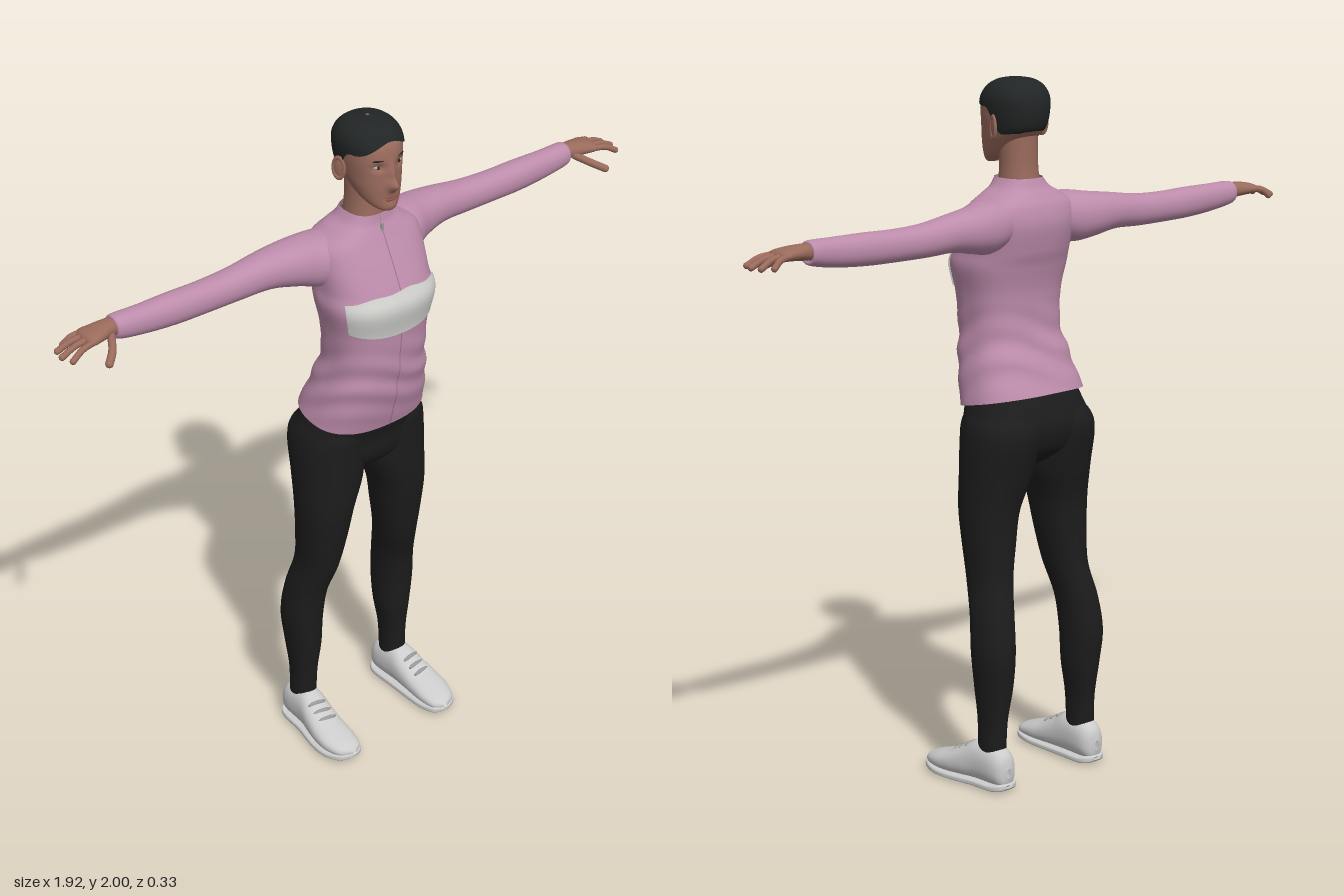
import * as THREE from 'three';
import { ParametricGeometry } from 'three/addons/geometries/ParametricGeometry.js';

const mat = (name, color) => {
  const m = new THREE.MeshStandardMaterial({ color, side: THREE.DoubleSide });
  m.name = name;
  return m;
};

// Catmull-Rom blend of the cross-section rows at t (in rows)
function rowAt(rows, t) {
  const last = rows.length - 1;
  const i = Math.min(Math.max(Math.floor(t), 0), last - 1), u = t - i;
  const r = k => rows[Math.min(Math.max(k, 0), last)];
  return [0, 1, 2, 3, 4, 5].map(c => {
    const [a, b, d, e] = [r(i - 1), r(i), r(i + 1), r(i + 2)].map(q => q[c] ?? 0);
    return 0.5 * (2 * b + (d - a) * u + (2 * a - 5 * b + 4 * d - e) * u * u + (3 * b - a - 3 * d + e) * u ** 3);
  });
}

// Surface through rows [height, side centre, half width, front, back, tilt]
const surface = (rows, n = 2.2, warp = null) => {
  const f = (t, a, off, p) => {
    const [h, c, w, front, back, tilt] = rowAt(rows, t);
    const s = Math.sin(a), k = Math.cos(a);
    const r = (Math.abs(s) ** n + Math.abs(k) ** n) ** (-1 / n);
    const z = (front + back) / 2 + ((front - back) / 2 + off) * r * k;
    p.set(c + (w + off) * r * s, h + tilt * z, z);
    if (warp) warp(p, a);
    return p;
  };
  f.max = rows.length - 1;
  return f;
};

// Patch of a surface between two edges and two angles
function patch(f, { lo = () => 0, hi = () => f.max, a0 = -Math.PI, a1 = Math.PI, nu = 40, nv = 40, off = 0 } = {}) {
  return new ParametricGeometry((u, v, p) => {
    const a = a0 + (a1 - a0) * u;
    f(lo(a) + (hi(a) - lo(a)) * v, a, off, p);
  }, nu, nv);
}

function mirrored(geo) {
  const g = geo.clone().scale(-1, 1, 1), ix = g.index.array;
  for (let i = 0; i < ix.length; i += 3) [ix[i], ix[i + 1]] = [ix[i + 1], ix[i]];
  return g;
}

const ball = (x, y, z, rx, ry, rz, turn = 0) =>
  new THREE.SphereGeometry(1, 20, 14).scale(rx, ry, rz).rotateY(turn).translate(x, y, z);

export function createModel() {
  const model = new THREE.Group();
  const pink = mat('pink fabric', 0xbd8cab), white = mat('white fabric', 0xcfcfcc);
  const black = mat('black leggings', 0x1c1c1c), hairMat = mat('dark hair', 0x222525);
  const skin = mat('skin', 0x9a6b5c), lip = mat('lips', 0x85504a), eyeWhite = mat('eye white', 0xb5a8a0);
  const shoeMat = mat('shoe', 0xcccccc), grey = mat('grey trim', 0x9a9a9a), seam = mat('pink seam', 0xa07491);

  const add = (name, geo, m) => {
    const mesh = new THREE.Mesh(geo, m);
    mesh.name = name;
    model.add(mesh);
  };
  const pair = (name, geo, m) => {
    add('left' + name, geo, m);
    add('right' + name, mirrored(geo), m);
  };

  // Shirt body with soft folds at the waist
  const shirt = surface([
    [1.10, 0, 0.187, 0.102, -0.152, -0.2], [1.20, 0, 0.168, 0.13, -0.117, -0.1],
    [1.30, 0, 0.148, 0.145, -0.087], [1.40, 0, 0.153, 0.152, -0.085],
    [1.48, 0, 0.168, 0.165, -0.10], [1.53, 0, 0.164, 0.146, -0.115],
    [1.60, 0, 0.168, 0.112, -0.127], [1.65, 0, 0.16, 0.085, -0.118],
    [1.68, 0, 0.115, 0.07, -0.10], [1.70, 0, 0.08, 0.061, -0.085], [1.725, 0, 0.06, 0.056, -0.074],
  ], 2.5, (p, a) => {
    const k = Math.max(0, 1 - Math.abs(p.y - 1.24) / 0.15);
    const d = 0.004 * k * Math.sin(p.y * 70 + 3 * Math.sin(2 * a));
    p.x += d * Math.sin(a);
    p.z += d * Math.cos(a);
  });
  add('shirtBody', patch(shirt, { nu: 72, nv: 90 }), pink);
  add('chestBand', patch(shirt, {
    lo: a => 3 + 0.25 * a * a, hi: a => 5 - 0.3 * a * a + 0.04 * Math.sin(a * 9), a0: -1.02, a1: 1.02, off: 0.004,
  }), white);
  add('frontZip', patch(shirt, { a0: -0.012, a1: 0.012, nu: 2, nv: 90, off: 0.0015 }), seam);
  add('zipPull', new THREE.BoxGeometry(0.008, 0.022, 0.006).translate(0, 1.69, 0.068), grey);

  // Sleeves run out along x
  const sleeve = surface([
    [0.07, -1.615, 0.055, 0.03, -0.10], [0.15, -1.602, 0.073, 0.045, -0.118],
    [0.22, -1.602, 0.064, 0.012, -0.125], [0.30, -1.604, 0.052, -0.01, -0.121],
    [0.40, -1.596, 0.046, -0.022, -0.115], [0.50, -1.594, 0.044, -0.025, -0.11],
    [0.60, -1.596, 0.044, -0.025, -0.108], [0.70, -1.60, 0.04, -0.03, -0.102],
    [0.78, -1.607, 0.033, -0.034, -0.101], [0.785, -1.608, 0.02, -0.05, -0.09],
  ]);
  pair('Sleeve', patch(sleeve, { nu: 32, nv: 60 }).rotateZ(-Math.PI / 2), pink);

  // Hands: palm, four fingers and a thumb
  const palm = surface([
    [0.75, -1.608, 0.024, -0.045, -0.092], [0.80, -1.612, 0.022, -0.038, -0.095],
    [0.84, -1.612, 0.019, -0.025, -0.10], [0.875, -1.61, 0.014, -0.02, -0.102],
    [0.887, -1.608, 0.003, -0.05, -0.07],
  ]);
  pair('Palm', patch(palm, { nu: 24, nv: 20 }).rotateZ(-Math.PI / 2), skin);
  const digit = (name, pts, r) => {
    const path = new THREE.CatmullRomCurve3(pts.map(p => new THREE.Vector3(...p)));
    pair(name, new THREE.TubeGeometry(path, 12, r, 10), skin);
    pair(name + 'Tip', ball(...pts[2], r, r, r), skin);
  };
  [[-0.091, 0.918, -0.102], [-0.072, 0.946, -0.083], [-0.051, 0.953, -0.05], [-0.031, 0.942, -0.016]]
    .forEach(([z, x, tz], i) => digit('Finger' + (i + 1),
      [[0.86, 1.61, z], [(0.87 + x) / 2, 1.605, (z + tz) / 2], [x, 1.587, tz]], 0.0088));
  digit('Thumb', [[0.805, 1.602, -0.045], [0.835, 1.585, 0.003], [0.862, 1.57, 0.028]], 0.011);

  // Leggings
  add('pelvis', patch(surface([
    [0.905, 0, 0.05, 0.0, -0.05], [0.93, 0, 0.12, 0.045, -0.10], [0.97, 0, 0.18, 0.066, -0.145],
    [1.03, 0, 0.203, 0.072, -0.163], [1.08, 0, 0.186, 0.085, -0.152], [1.14, 0, 0.165, 0.09, -0.125],
  ], 2.5), { nu: 56, nv: 30 }), black);
  pair('Leg', patch(surface([
    [0.10, 0.172, 0.036, -0.045, -0.13], [0.20, 0.17, 0.036, -0.04, -0.136],
    [0.30, 0.168, 0.049, -0.03, -0.15], [0.40, 0.17, 0.055, -0.022, -0.16],
    [0.50, 0.162, 0.054, -0.008, -0.147], [0.60, 0.145, 0.056, 0.025, -0.122],
    [0.70, 0.137, 0.068, 0.045, -0.117], [0.80, 0.13, 0.08, 0.06, -0.12],
    [0.90, 0.112, 0.098, 0.066, -0.142], [1.0, 0.106, 0.102, 0.069, -0.164],
    [1.05, 0.1, 0.097, 0.07, -0.158], [1.10, 0.09, 0.07, 0.06, -0.12],
  ]), { nu: 36, nv: 66 }), black);

  // Shoes: sections run from heel to toe
  const shoe = [
    [-0.16, 0.172, 0.008, -0.04, -0.07], [-0.15, 0.172, 0.03, -0.012, -0.105],
    [-0.12, 0.172, 0.042, -0.01, -0.125], [-0.05, 0.175, 0.045, -0.01, -0.134],
    [0, 0.18, 0.05, -0.01, -0.108], [0.05, 0.184, 0.054, -0.01, -0.083],
    [0.10, 0.184, 0.053, -0.012, -0.066], [0.145, 0.18, 0.038, -0.016, -0.05],
    [0.163, 0.176, 0.006, -0.025, -0.035],
  ];
  const sole = shoe.map(([z, c, w], i) => {
    const lift = [0.012, 0.004, 0, 0, 0, 0, 0.002, 0.007, 0.015][i];
    return [z * 1.01, c, w + 0.004, -lift, -lift - (i % 8 ? 0.022 : 0.01)];
  });
  pair('ShoeUpper', patch(surface(shoe, 2.3), { nu: 36 }).rotateX(Math.PI / 2), shoeMat);
  pair('ShoeSole', patch(surface(sole, 4), { nu: 36 }).rotateX(Math.PI / 2), shoeMat);
  [[-0.01, 0.114], [0.015, 0.1], [0.04, 0.088]].forEach(([z, y], i) =>
    pair('Lace' + (i + 1), ball(0.181, y - 0.004, z, 0.03, 0.008, 0.006, 0.15), grey));

  // Head with sculpted eye sockets, nose and chin
  const bump = (p, x, y, sx, sy) => Math.exp(-(((p.x - x) / sx) ** 2) - ((p.y - y) / sy) ** 2);
  const head = surface([
    [1.785, 0, 0.003, 0.07, 0.063, -0.35], [1.79, 0, 0.035, 0.10, 0.0, -0.35],
    [1.805, 0, 0.056, 0.107, -0.03, -0.3], [1.83, 0, 0.069, 0.109, -0.06, -0.15],
    [1.86, 0, 0.077, 0.108, -0.082], [1.90, 0, 0.083, 0.108, -0.092],
    [1.94, 0, 0.084, 0.10, -0.09], [1.97, 0, 0.071, 0.078, -0.072],
    [1.988, 0, 0.044, 0.047, -0.043], [1.995, 0, 0.001, 0.006, 0.004],
  ], 2.2, p => {
    if (p.z < 0.03) return;
    const socket = bump(p, 0.035, 1.887, 0.017, 0.012) + bump(p, -0.035, 1.887, 0.017, 0.012);
    p.z += 0.024 * bump(p, 0, 1.832, 0.014, 0.016) + 0.011 * bump(p, 0, 1.862, 0.011, 0.026)
      + 0.006 * bump(p, 0, 1.768, 0.025, 0.014) - 0.009 * socket;
  });
  add('head', patch(head, { nu: 96, nv: 72 }), skin);
  add('neck', patch(surface([
    [1.69, 0, 0.058, 0.048, -0.07], [1.76, 0, 0.052, 0.043, -0.062], [1.85, 0, 0.052, 0.05, -0.062],
  ]), { nu: 32, nv: 12 }), skin);

  // Close-cropped hair, low at the nape and high over the brow
  const step = (a, lo, hi) => THREE.MathUtils.smoothstep(Math.abs(a), lo, hi);
  add('hair', patch(head, {
    lo: a => 6.3 - 0.9 * step(a, 0, 1.1) - 2.0 * step(a, 1.3, 2.0), nu: 64, off: 0.004,
  }).translate(0, 0.004, 0), hairMat);

  // Face details and ears
  pair('Eye', ball(0.035, 1.887, 0.086, 0.013, 0.007, 0.01), eyeWhite);
  pair('Iris', ball(0.035, 1.887, 0.093, 0.005, 0.0055, 0.0045), hairMat);
  pair('Brow', ball(0.036, 1.908, 0.097, 0.017, 0.003, 0.004, 0.35), hairMat);
  add('upperLip', ball(0, 1.799, 0.107, 0.022, 0.004, 0.008), lip);
  add('lowerLip', ball(0, 1.791, 0.107, 0.019, 0.005, 0.009), lip);
  pair('Ear', ball(0.086, 1.865, -0.004, 0.006, 0.033, 0.019, -0.4), skin);
  pair('EarRim', new THREE.TorusGeometry(0.017, 0.004, 8, 24).scale(1, 1.75, 1)
    .rotateY(Math.PI / 2 - 0.4).translate(0.09, 1.866, -0.005), skin);

  return model;
}
